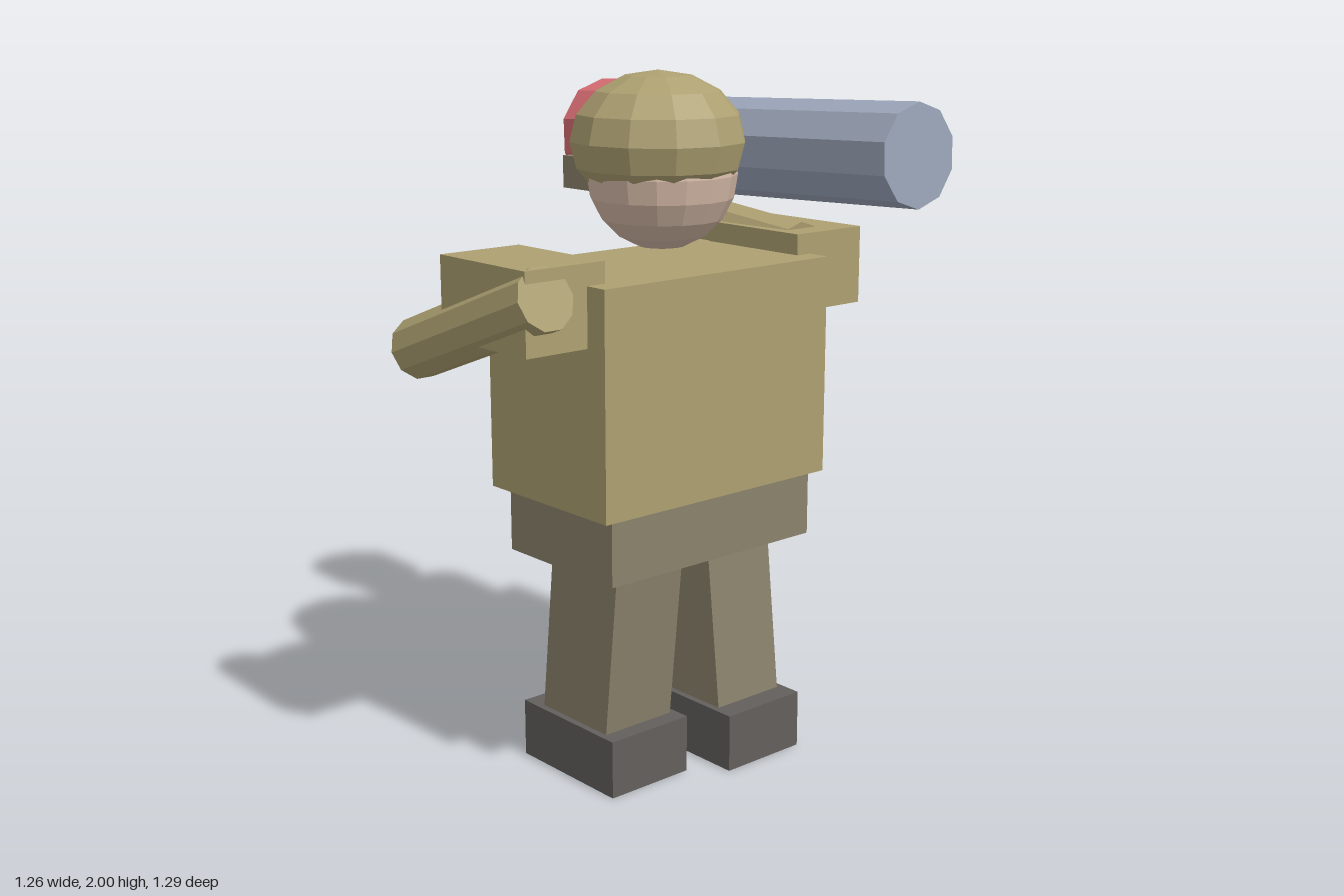
import * as THREE from 'three';

const mat = (color) => new THREE.MeshStandardMaterial({ color, flatShading: true });

export function createModel() {
  const model = new THREE.Group();
  model.name = 'soldier';
  const cloth = mat(0xada071);
  const trousers = mat(0x8a826c);
  const boots = mat(0x625f5d);
  const skin = mat(0xd3b8a6);
  const steel = mat(0x9ca7ba);
  const red = mat(0xd66d73);

  const add = (name, geometry, material, x, y, z) => {
    const mesh = new THREE.Mesh(geometry, material);
    mesh.name = name;
    mesh.position.set(x, y, z);
    model.add(mesh);
    return mesh;
  };

  // Box given by its extents on each axis
  const box = (name, material, [x0, x1], [y0, y1], [z0, z1]) =>
    add(name, new THREE.BoxGeometry(x1 - x0, y1 - y0, z1 - z0), material,
      (x0 + x1) / 2, (y0 + y1) / 2, (z0 + z1) / 2);

  // Ten-sided rod in a plane of constant x, running from back [y, z] to front [y, z]
  const rod = (name, material, radius, x, [y0, z0], [y1, z1], roll = 0) => {
    const geometry = new THREE.CylinderGeometry(radius, radius, Math.hypot(y1 - y0, z1 - z0), 10);
    geometry.rotateY(roll).rotateX(Math.PI / 2);
    const mesh = add(name, geometry, material, x, (y0 + y1) / 2, (z0 + z1) / 2);
    mesh.rotation.x = -Math.atan2(y1 - y0, z1 - z0);
    return mesh;
  };

  // Body
  box('torso', cloth, [-0.40, 0.42], [0.845, 1.475], [-0.28, 0.225]);
  box('pelvis', trousers, [-0.36, 0.385], [0.655, 0.845], [-0.25, 0.20]);

  // Legs lean in opposite directions in a stride
  const legs = [
    { side: 'left', x: 0.20, z: -0.017, tilt: -0.107, foot: [-0.185, 0.22] },
    { side: 'right', x: -0.17, z: -0.033, tilt: 0.107, foot: [-0.27, 0.135] },
  ];
  for (const { side, x, z, tilt, foot } of legs) {
    add(side + 'Leg', new THREE.BoxGeometry(0.24, 0.56, 0.283), trousers, x, 0.415, z).rotation.x = tilt;
    box(side + 'Boot', boots, [x - 0.14, x + 0.14], [0, 0.17], foot);
  }

  // Arms
  box('leftUpperArm', cloth, [0.37, 0.63], [1.31, 1.535], [-0.215, 0.155]);
  box('rightUpperArm', cloth, [-0.60, -0.34], [1.31, 1.535], [-0.215, 0.155]);
  rod('leftForearm', cloth, 0.09, 0.463, [1.52, -0.492], [1.465, 0.07]);
  rod('rightForearm', cloth, 0.088, -0.546, [1.242, -0.415], [1.462, 0.17], Math.PI / 10);

  // Head, helmet and visor
  add('head', new THREE.SphereGeometry(0.21, 16, 10), skin, 0.01, 1.72, -0.02);
  add('helmet', new THREE.SphereGeometry(0.245, 12, 8).scale(1, 0.78, 1.02), cloth, 0.005, 1.81, -0.03);
  box('visor', trousers, [-0.135, 0.16], [1.67, 1.76], [-0.275, -0.12]);

  // Shoulder tube with its collar
  rod('launcherTube', steel, 0.139, 0.315, [1.755, -0.55], [1.798, 0.642]);
  rod('launcherCollar', red, 0.166, 0.315, [1.771, -0.64], [1.778, -0.458]);

  return model;
}
